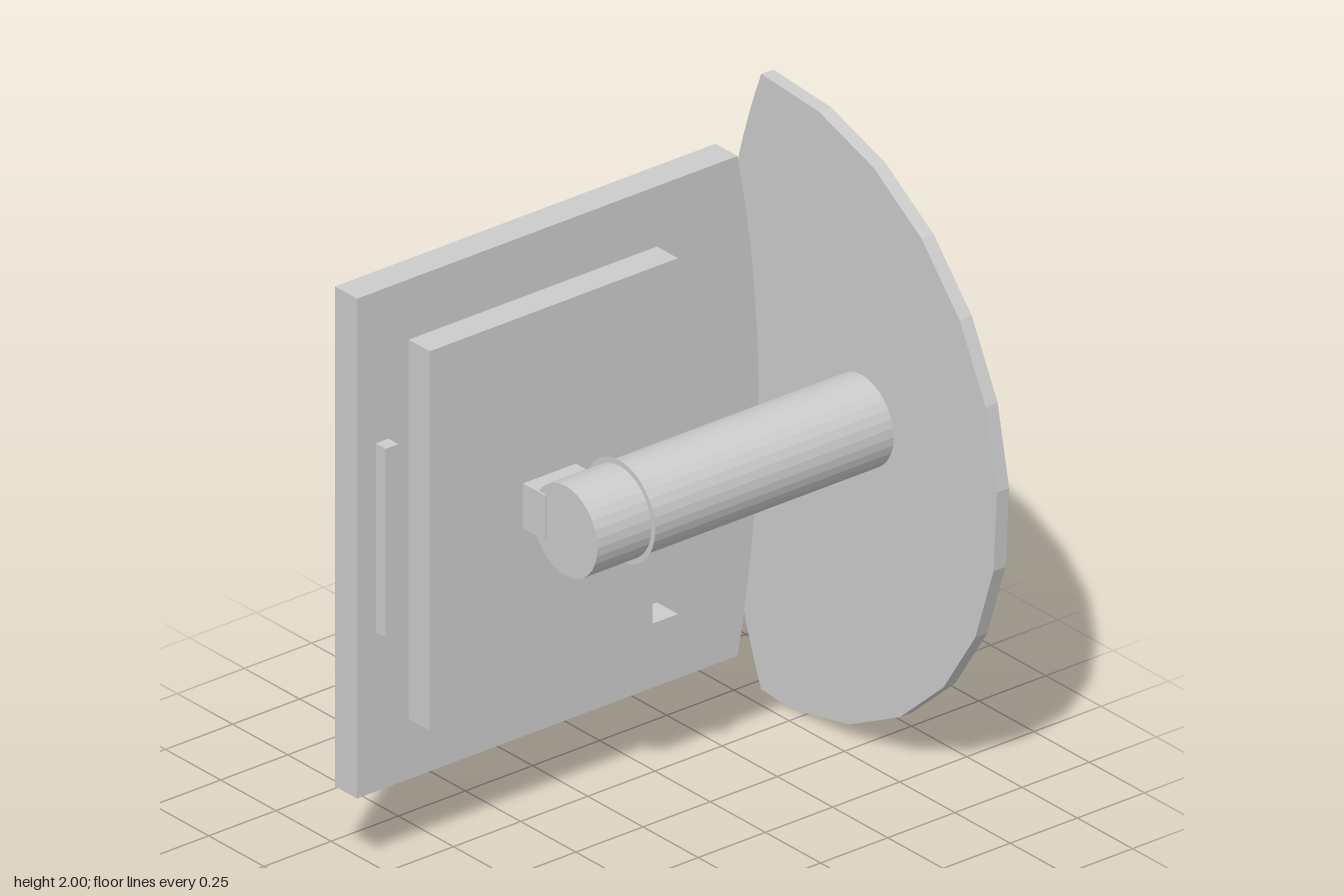
import * as THREE from 'three';

const material = new THREE.MeshStandardMaterial({ color: 0xcccccc, flatShading: true });
const SHAFT = { x: 0.015, y: 1.063, r: 0.145 };

export function createModel() {
  const group = new THREE.Group();

  const add = (name, geometry, mat = material) => {
    const mesh = new THREE.Mesh(geometry, mat);
    mesh.name = name;
    group.add(mesh);
    return mesh;
  };

  // Box given by its limits on each axis
  const box = (name, [x0, x1], [y0, y1], [z0, z1]) =>
    add(name, new THREE.BoxGeometry(x1 - x0, y1 - y0, z1 - z0))
      .position.set((x0 + x1) / 2, (y0 + y1) / 2, (z0 + z1) / 2);

  // Slab whose outline lies in (z, y), extruded between x0 and x1
  const sideSlab = (name, points, x0, x1) => {
    const geometry = new THREE.ExtrudeGeometry(new THREE.Shape(points),
      { depth: x1 - x0, bevelEnabled: false });
    geometry.rotateY(-Math.PI / 2).translate(x1, 0, 0);
    add(name, geometry);
  };

  // Shallow bow from y0 to y1, bulging by sag towards negative
  const bow = (edge, sag, y0, y1, n) => {
    const half = (y1 - y0) / 2, R = (half * half + sag * sag) / (2 * sag);
    const a = Math.asin(half / R);
    return Array.from({ length: n + 1 }, (_, i) => {
      const t = -a + (2 * a * i) / n;
      return new THREE.Vector2(edge - R * (Math.cos(t) - Math.cos(a)), (y0 + y1) / 2 + R * Math.sin(t));
    });
  };

  const v = (x, y) => new THREE.Vector2(x, y);

  // Back plate: faceted round on one side, shallow bow on the other, with a bore
  const outline = [];
  for (let deg = -86; deg < 90; deg += 15) {
    const t = THREE.MathUtils.degToRad(deg);
    outline.push(v(-0.37 + Math.cos(t), 1 + Math.sin(t)));
  }
  outline.push(...bow(-0.44, 0.193, 0.012, 2, 24).reverse());
  const plate = new THREE.Shape(outline);
  plate.holes.push(new THREE.Path().absarc(SHAFT.x, SHAFT.y, SHAFT.r, 0, Math.PI * 2, true));
  add('backPlate', new THREE.ExtrudeGeometry(plate, { depth: 0.045, bevelEnabled: false, curveSegments: 16 }))
    .position.z = -0.847;

  // Side panel with a bowed rear edge
  sideSlab('sidePanel',
    [v(0.847, 0.265), v(0.847, 1.88), ...bow(-0.57, 0.078, 0.265, 1.88, 16).reverse()], -0.365, -0.265);

  // Raised plate with a notch cut in its rear edge
  sideSlab('raisedPlate', [
    v(0.655, 0.46), v(0.655, 1.685), v(-0.27, 1.685), v(-0.27, 1.61),
    v(-0.175, 1.61), v(-0.175, 0.535), v(-0.27, 0.535), v(-0.27, 0.46),
  ], -0.265, -0.17);

  box('strip', [-0.265, -0.22], [0.78, 1.39], [0.73, 0.777]);
  box('shaftBlock', [-0.17, -0.07], [1.0, 1.145], [0.11, 0.307]);

  // Shaft running forward from the plate
  add('shaft', new THREE.CylinderGeometry(SHAFT.r, SHAFT.r, 1.103, 32).rotateX(Math.PI / 2))
    .position.set(SHAFT.x, SHAFT.y, -0.2505);

  // Thin collar around the shaft
  const thin = material.clone();
  thin.side = THREE.DoubleSide;
  add('collar', new THREE.RingGeometry(SHAFT.r, 0.162, 32), thin)
    .position.set(SHAFT.x, SHAFT.y, 0.1);

  return group;
}
